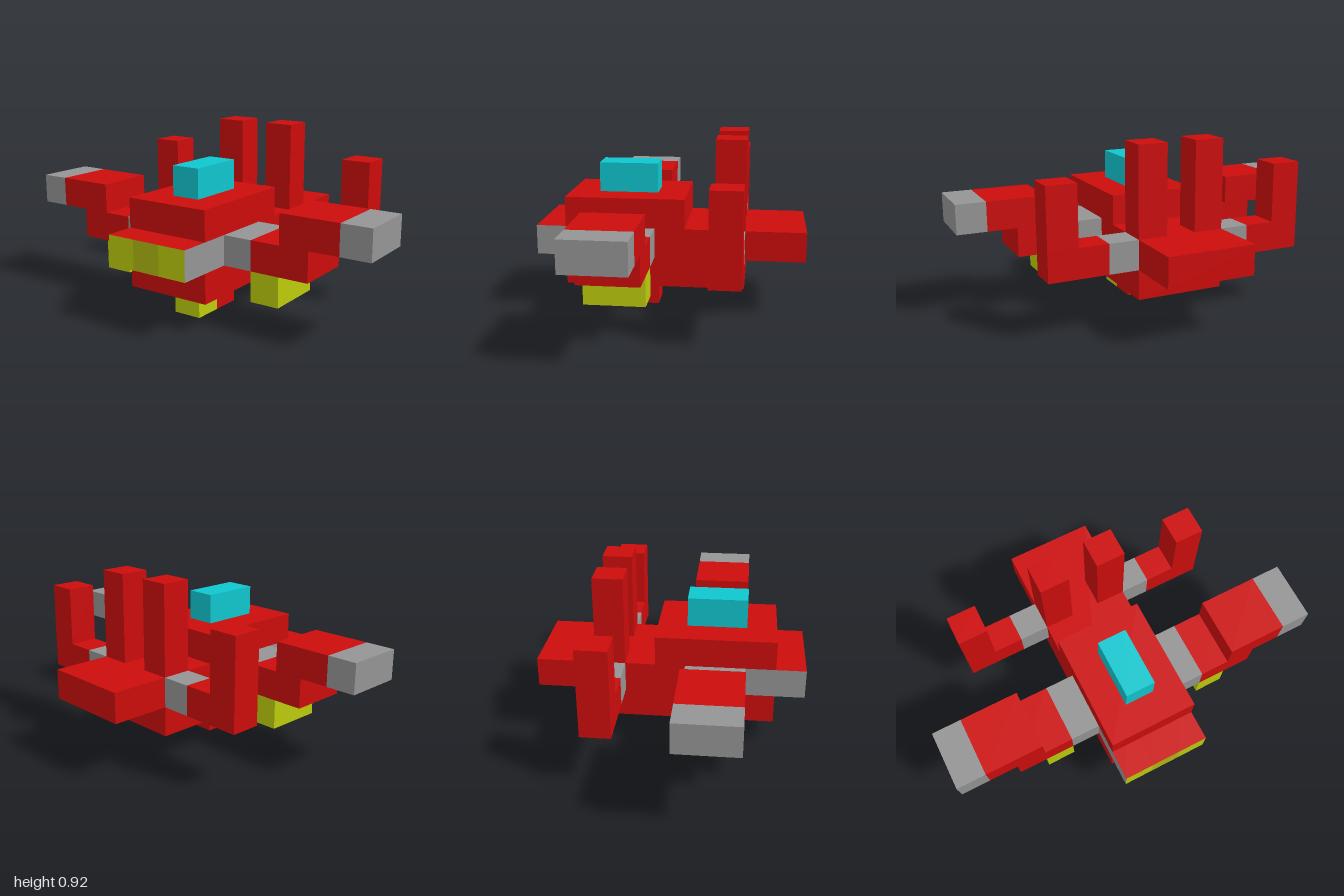
import * as THREE from 'three';

const U = 2 / 13; // edge of one building block

function mat(name, color) {
  const m = new THREE.MeshStandardMaterial({ color });
  m.name = name;
  return m;
}

export function createModel() {
  const red = mat('red', 0xcc0c0c);
  const grey = mat('grey', 0x949494);
  const yellow = mat('yellow', 0xbccb0c);
  const olive = mat('dark yellow', 0xb0b812);
  const cyan = mat('cyan', 0x10c6ce);

  const model = new THREE.Group();
  model.name = 'spaceship';

  // Box given by its extents in block units
  function block(parent, name, material, [x0, x1], [y0, y1], [z0, z1]) {
    const g = new THREE.BoxGeometry((x1 - x0) * U, (y1 - y0) * U, (z1 - z0) * U);
    const m = new THREE.Mesh(g, material);
    m.position.set((x0 + x1) / 2 * U, (y0 + y1) / 2 * U, (z0 + z1) / 2 * U);
    m.name = name;
    parent.add(m);
  }

  // Hull: three stacked layers
  const wide = [-1.5, 1.5];
  block(model, 'lowerHull', red, wide, [1, 2], [-2.5, 3.5]);
  block(model, 'middleHull', red, wide, [2, 3], [-4.5, 2.5]);
  block(model, 'upperHull', red, wide, [3, 4], [-0.5, 3.5]);
  block(model, 'canopy', cyan, [-0.5, 0.5], [4, 5], [0.5, 2.5]);

  // Nose: red top and bottom, grey sides, yellow lights in front
  for (const i of [-1, 0, 1]) {
    const front = i === 0 ? olive : yellow;
    block(model, 'nose', [grey, grey, red, red, front, red],
      [i - 0.5, i + 0.5], [2, 3], [2.5, 4.5]);
  }

  // Belly gun
  block(model, 'bellyGunMuzzle', yellow, [-0.5, 0.5], [0, 1], [1.5, 2.5]);
  block(model, 'bellyGunMount', red, [-0.5, 0.5], [0, 1], [0.5, 1.5]);

  // Mirrored wings and fins
  for (const s of [1, -1]) {
    const side = new THREE.Group();
    side.name = s > 0 ? 'leftSide' : 'rightSide';
    model.add(side);
    const part = (name, m, x, y, z) =>
      block(side, name, m, s > 0 ? x : [-x[1], -x[0]], y, z);

    const wingZ = [0.5, 2.5];
    part('wingJoint', grey, [1.5, 2.5], [2, 3], wingZ);
    part('innerWing', red, [2.5, 4.5], [2, 3], wingZ);
    part('outerWing', red, [3.5, 5.5], [3, 4], wingZ);
    part('wingTip', grey, [5.5, 6.5], [3, 4], wingZ);
    part('wingPod', yellow, [2.5, 3.5], [1, 2], wingZ);

    const finZ = [-2.5, -1.5];
    part('rearJoint', grey, [1.5, 2.5], [2, 3], finZ);
    part('rearWing', red, [2.5, 4.5], [2, 3], finZ);
    part('outerFin', red, [3.5, 4.5], [3, 5], finZ);
    part('innerFin', red, [0.5, 1.5], [3, 6], finZ);
  }
  return model;
}
